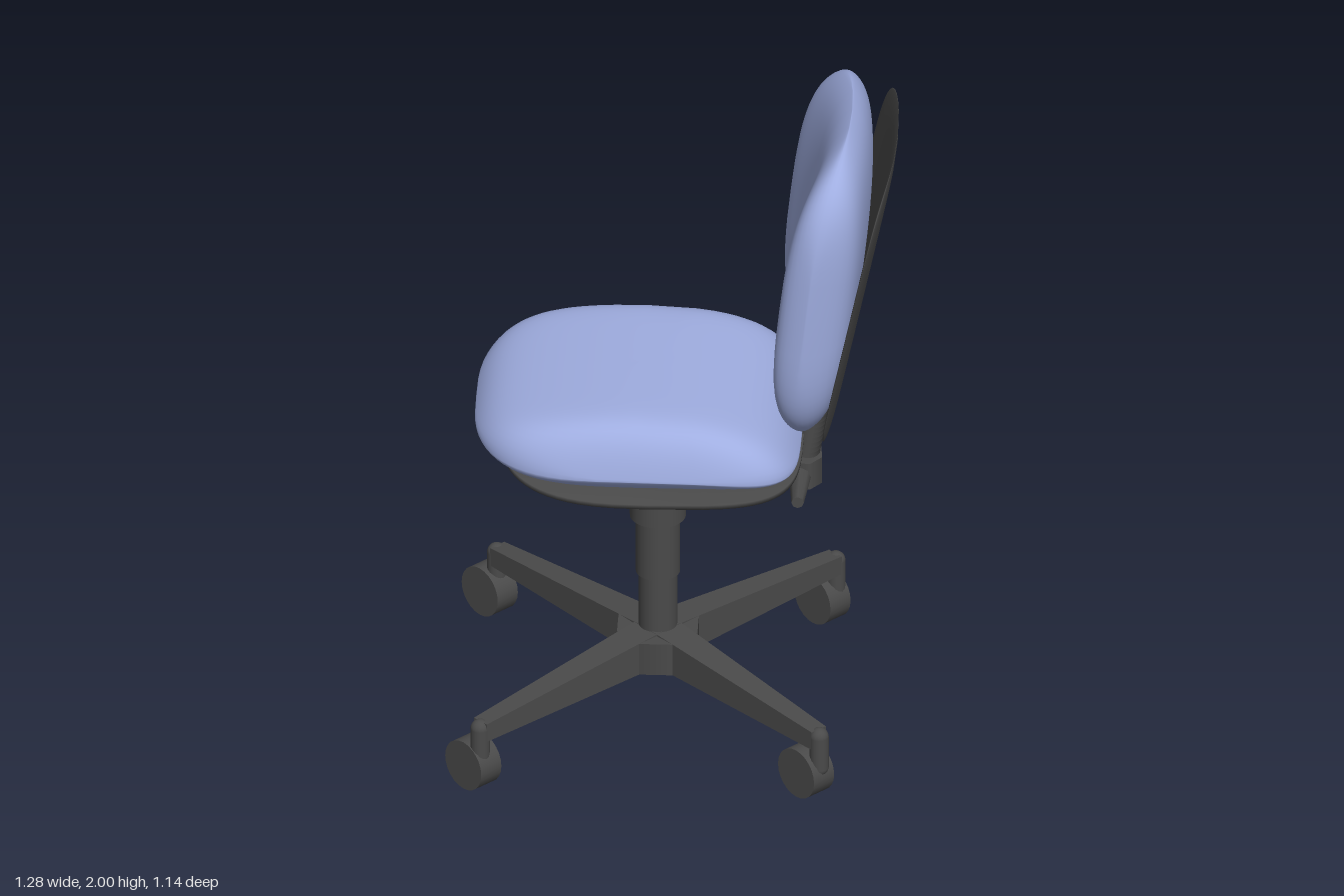
import * as THREE from 'three';

const fabric = new THREE.MeshStandardMaterial({ color: 0x9fade0 });
const plastic = new THREE.MeshStandardMaterial({ color: 0x4a4a4a });
const plasticThin = new THREE.MeshStandardMaterial({ color: 0x4a4a4a, side: THREE.DoubleSide });

// Point on a rounded-square outline of radius 1
function outline(angle, n) {
  const c = Math.cos(angle), s = Math.sin(angle), e = 2 / n(c);
  return [Math.sign(c) * Math.abs(c) ** e, Math.sign(s) * Math.abs(s) ** e];
}

// Skin rows of closed loops; point(row, angle) gives [x, y, z]
function loft(rows, point, flip, segs = 72) {
  const pos = [], index = [];
  rows.forEach((row) => {
    for (let j = 0; j < segs; j++) pos.push(...point(row, (j / segs) * Math.PI * 2));
  });
  for (let i = 0; i < rows.length - 1; i++) {
    for (let j = 0; j < segs; j++) {
      const k = (j + 1) % segs;
      const a = i * segs + j, b = a + segs, c = i * segs + k, d = c + segs;
      if (flip) index.push(a, b, c, c, b, d);
      else index.push(a, c, b, c, d, b);
    }
  }
  const g = new THREE.BufferGeometry();
  g.setAttribute('position', new THREE.Float32BufferAttribute(pos, 3));
  g.setIndex(index);
  g.computeVertexNormals();
  return g;
}

// Stuffed pad: lens-shaped along u, nearly flat along v, closed at the rim
function pad(n, softU, softV, place, flip) {
  const rows = Array.from({ length: 41 }, (_, i) => (i / 40) * Math.PI);
  return loft(rows, (phi, angle) => {
    const s = Math.min(1, Math.sin(phi));
    const [u, v] = outline(angle, n).map((t) => t * s);
    const fade = (1 - Math.abs(u) ** softU) * (1 - Math.abs(v) ** softV) * (1 - s ** 14);
    return place(u, v, Math.sqrt(Math.max(0, fade)) * Math.sign(Math.cos(phi)));
  }, flip);
}

function add(parent, name, geometry, material, x = 0, y = 0, z = 0) {
  const m = new THREE.Mesh(geometry, material);
  m.name = name;
  m.position.set(x, y, z);
  parent.add(m);
  return m;
}

export function createModel() {
  const chair = new THREE.Group();
  chair.name = 'officeChair';
  const cx = -0.052, cz = 0.024;

  // Seat cushion, rounder at its front edge (-x)
  const seatN = (c) => (c < 0 ? 3.3 : 5);
  add(chair, 'seatCushion', pad(seatN, 2.1, 10, (u, v, h) => [
    -0.105 + 0.47 * u,
    0.98 - 0.03 * u ** 3 + h * (h > 0 ? 0.158 : 0.058),
    0.005 + 0.42 * v,
  ], false), fabric);

  // Seat pan: a thin saddle-shaped ring
  const section = [[0.78, 0], [1, 0], [1, -0.014], [0.78, -0.014], [0.78, 0]];
  add(chair, 'seatPan', loft(section, ([s, dy], angle) => {
    const [a, b] = outline(angle, seatN);
    const u = a * s, v = b * s;
    return [-0.065 + 0.435 * u, 0.928 + 0.02 * u * u - 0.017 * v ** 4 + dy, 0.008 + 0.425 * v];
  }, false), plasticThin);

  // Backrest cushion, its front face hollowed between the sides
  add(chair, 'backCushion', pad(() => 3.5, 2.6, 10, (u, v, h) => [
    0.452 + 0.055 * u - (0.06 - 0.03 * h) * v * v + 0.09 * h,
    1.525 + 0.475 * u,
    0.01 + 0.42 * v,
  ], true), fabric);

  // Backrest shell, narrowing slightly to top and bottom
  add(chair, 'backShell', pad(() => 4.6, 12, 12, (u, v, h) => [
    0.545 + 0.092 * u - 0.037 * v * v + 0.008 * h,
    1.48 + 0.44 * u,
    0.01 + 0.425 * v * (1 - 0.05 * u * u),
  ], true), plastic);

  // Ribbed strut that carries the backrest
  const profile = [[0, 0]];
  for (let i = 0; i <= 30; i++) profile.push([i % 2 ? 0.058 : 0.044, 0.05 + i * 0.0085]);
  profile.push([0.03, 0.32], [0.03, 0.4], [0, 0.4]);
  const strutGeo = new THREE.LatheGeometry(profile.map((p) => new THREE.Vector2(...p)), 20);
  const strut = add(chair, 'backStrut', strutGeo, plastic, 0.36, 0.8, cz);
  strut.rotation.z = -0.17;
  strut.scale.x = 0.75;

  // Bracket, clamp and lever behind the seat
  add(chair, 'bracket', new THREE.BoxGeometry(0.21, 0.125, 0.16), plastic, 0.205, 0.85, cz);
  const clamp = add(chair, 'clamp', new THREE.CylinderGeometry(0.088, 0.088, 0.085, 8), plastic, 0.355, 0.825, cz);
  clamp.rotation.y = Math.PI / 8;
  clamp.scale.x = 0.75;
  const leverGeo = new THREE.CylinderGeometry(0.018, 0.033, 0.16, 8);
  leverGeo.rotateX(Math.PI / 2);
  add(chair, 'lever', leverGeo, plastic, 0.36, 0.822, 0.167);

  // Telescopic column
  [[0.056, 0.2, 0.46], [0.064, 0.455, 0.65], [0.081, 0.64, 0.925]].forEach(([r, y0, y1]) => {
    add(chair, 'columnStage', new THREE.CylinderGeometry(r, r, y1 - y0, 32), plastic, cx, (y0 + y1) / 2, cz);
  });

  // Hub and four tapered legs with casters
  const hub = add(chair, 'hub', new THREE.CylinderGeometry(0.125, 0.125, 0.102, 8), plastic, cx, 0.223, cz);
  hub.rotation.y = Math.PI / 8;
  const length = 0.695;
  for (const sx of [-1, 1]) {
    for (const sz of [-1, 1]) {
      const ex = cx + sx * 0.487, ez = cz + sz * 0.498;

      const legGeo = new THREE.BoxGeometry(length, 1, 1);
      legGeo.translate(length / 2, 0, 0);
      const p = legGeo.attributes.position;
      for (let i = 0; i < p.count; i++) {
        const outer = p.getX(i) > length / 2;
        p.setY(i, p.getY(i) < 0 ? 0.172 : outer ? 0.23 : 0.283);
        p.setZ(i, p.getZ(i) * (outer ? 0.054 : 0.1));
      }
      legGeo.computeVertexNormals();
      const leg = add(chair, 'leg', legGeo, plastic, cx, 0, cz);
      leg.rotation.y = -Math.atan2(sz * 0.498, sx * 0.487);

      add(chair, 'casterStem', new THREE.CapsuleGeometry(0.028, 0.1, 6, 16), plastic, ex, 0.157, ez);

      // All wheels trail the same way
      const wheelGeo = new THREE.CylinderGeometry(0.077, 0.077, 0.078, 24);
      wheelGeo.rotateX(Math.PI / 2);
      const wheel = add(chair, 'casterWheel', wheelGeo, plastic,
        cx + sx * 0.478 - 0.03, 0.078, cz + sz * 0.49 - 0.026);
      wheel.rotation.y = -Math.PI / 4;
    }
  }
  return chair;
}
